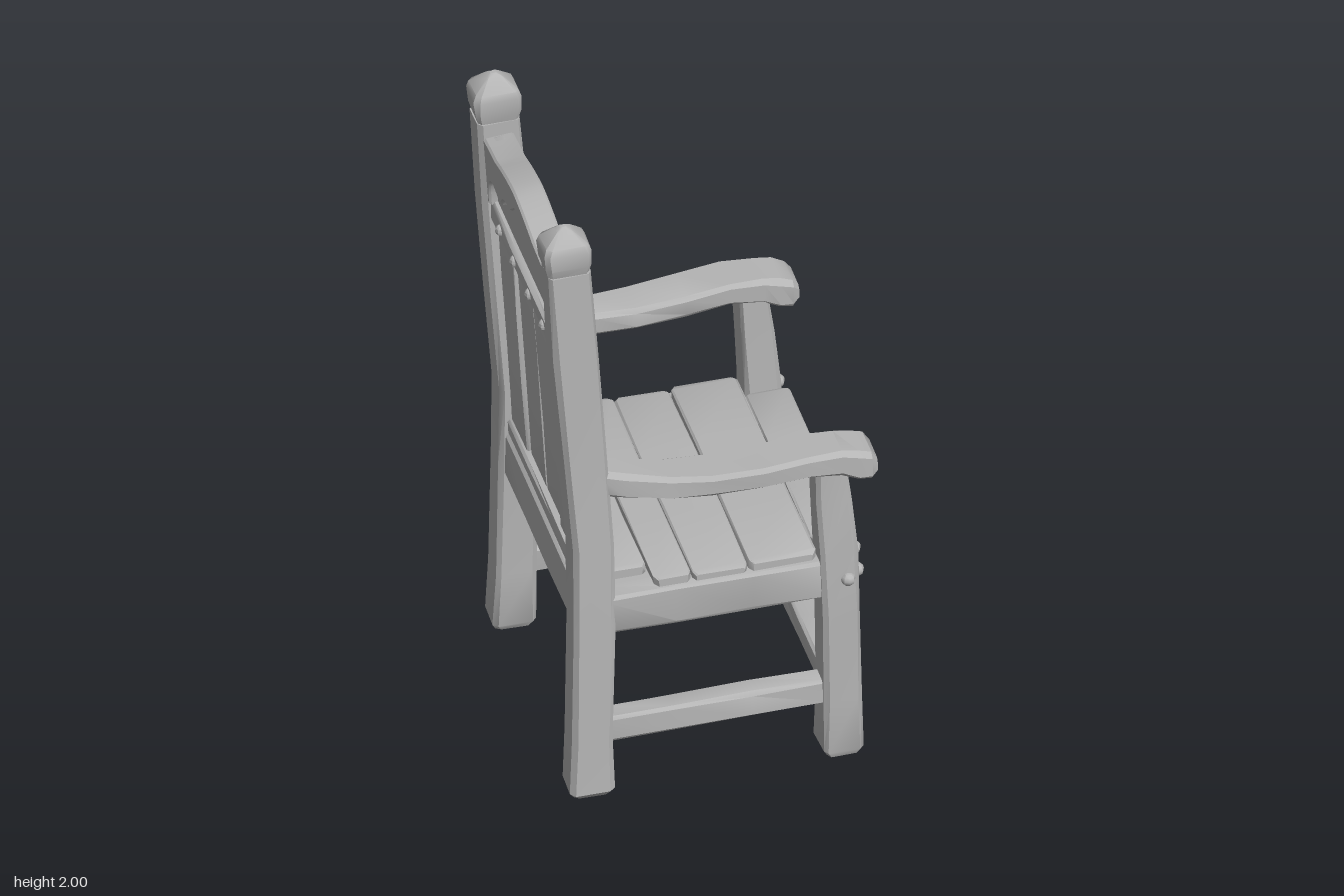
import * as THREE from 'three';
import { toCreasedNormals } from 'three/addons/utils/BufferGeometryUtils.js';

const AXES = {
  x: [[0, 1, 0], [0, 0, 1]],
  y: [[0, 0, 1], [1, 0, 0]],
  z: [[1, 0, 0], [0, 1, 0]],
};

export function createModel() {
  const chair = new THREE.Group();
  chair.name = 'chair';
  const wood = new THREE.MeshStandardMaterial({ color: 0xb4b4b4 });
  wood.name = 'greyWood';

  // small seeded noise for hand-hewn edges
  let seed = 7;
  const rand = () => {
    seed = (seed * 16807) % 2147483647;
    return seed / 2147483647 - 0.5;
  };

  function add(parent, name, geometry) {
    const mesh = new THREE.Mesh(toCreasedNormals(geometry, 0.6), wood);
    mesh.name = name;
    parent.add(mesh);
    return mesh;
  }

  // Beam with chamfered cross-sections. Each station is [x, y, z, halfU, halfV],
  // running in the positive direction of the given axis.
  function beam(parent, name, axis, stations, wobble = 0.006, bevel = 0.25) {
    const u = new THREE.Vector3(...AXES[axis][0]);
    const v = new THREE.Vector3(...AXES[axis][1]);
    const positions = [], index = [], n = 8;
    const point = (s, a, b) => {
      const p = new THREE.Vector3(s[0], s[1], s[2]).addScaledVector(u, a).addScaledVector(v, b);
      positions.push(p.x, p.y, p.z);
    };
    stations.forEach((s) => {
      const c = Math.min(s[3], s[4]) * bevel;
      const [a, b] = [s[3], s[4]];
      const ring = [[a, -b + c], [a, b - c], [a - c, b], [-a + c, b],
        [-a, b - c], [-a, -b + c], [-a + c, -b], [a - c, -b]];
      ring.forEach(([p, q]) => point(s, p + rand() * wobble, q + rand() * wobble));
    });
    for (let i = 0; i < stations.length - 1; i++) {
      for (let j = 0; j < n; j++) {
        const a = i * n + j, b = i * n + (j + 1) % n;
        index.push(a, b, b + n, a, b + n, a + n);
      }
    }
    // end caps
    const last = (stations.length - 1) * n, c0 = stations.length * n;
    point(stations[0], 0, 0);
    point(stations[stations.length - 1], 0, 0);
    for (let j = 0; j < n; j++) {
      const k = (j + 1) % n;
      index.push(c0, k, j, c0 + 1, last + j, last + k);
    }
    const g = new THREE.BufferGeometry();
    g.setAttribute('position', new THREE.Float32BufferAttribute(positions, 3));
    g.setIndex(index);
    return add(parent, name, g);
  }

  // Straight board between two ends, with worn ends and a few inner stations
  function board(parent, name, axis, from, to, hu, hv, wobble) {
    const stations = [0, 0.02, 0.33, 0.66, 0.98, 1].map((t) => {
      const k = t === 0 || t === 1 ? 0.012 : 0;
      return [...from.map((f, i) => f + (to[i] - f) * t), hu - Math.min(k, hu * 0.3), hv - Math.min(k, hv * 0.3)];
    });
    return beam(parent, name, axis, stations, wobble);
  }

  function peg(parent, name, x, y, z, r = 0.022) {
    add(parent, name, new THREE.SphereGeometry(r, 8, 6)).position.set(x, y, z);
  }

  for (const s of [1, -1]) {
    const side = s > 0 ? 'left' : 'right';

    // back posts, leaning backwards, with pointed finials
    beam(chair, side + 'BackPost', 'y', [
      [-0.355, 0, s * 0.412, 0.05, 0.053], [-0.355, 0.02, s * 0.412, 0.062, 0.065],
      [-0.352, 0.2, s * 0.411, 0.057, 0.06], [-0.345, 0.6, s * 0.405, 0.055, 0.06],
      [-0.344, 0.87, s * 0.392, 0.055, 0.06], [-0.366, 1.2, s * 0.38, 0.053, 0.065],
      [-0.391, 1.55, s * 0.377, 0.052, 0.067], [-0.41, 1.85, s * 0.375, 0.05, 0.064],
    ]);
    beam(chair, side + 'Finial', 'y', [
      [-0.411, 1.84, s * 0.375, 0.045, 0.058], [-0.413, 1.88, s * 0.375, 0.054, 0.068],
      [-0.415, 1.93, s * 0.375, 0.056, 0.07], [-0.416, 1.952, s * 0.375, 0.05, 0.062],
      [-0.418, 1.99, s * 0.375, 0.018, 0.022], [-0.418, 2, s * 0.375, 0.006, 0.008],
    ], 0.004);

    // front legs
    beam(chair, side + 'FrontLeg', 'y', [
      [0.388, 0, s * 0.412, 0.05, 0.048], [0.388, 0.02, s * 0.412, 0.062, 0.06],
      [0.386, 0.2, s * 0.41, 0.057, 0.056], [0.382, 0.5, s * 0.41, 0.057, 0.056],
      [0.377, 0.72, s * 0.41, 0.054, 0.055], [0.365, 0.9, s * 0.408, 0.045, 0.05],
      [0.352, 1.05, s * 0.41, 0.045, 0.044],
    ]);

    // sagging armrests with rounded drooping ends
    beam(chair, side + 'Armrest', 'x', [
      [-0.33, 1.085, s * 0.38, 0.045, 0.046], [-0.25, 1.067, s * 0.388, 0.043, 0.052],
      [-0.12, 1.048, s * 0.4, 0.037, 0.058], [0, 1.044, s * 0.409, 0.035, 0.063],
      [0.15, 1.05, s * 0.418, 0.036, 0.067], [0.28, 1.063, s * 0.42, 0.036, 0.067],
      [0.38, 1.055, s * 0.42, 0.042, 0.066], [0.43, 1.037, s * 0.42, 0.052, 0.065],
      [0.468, 1.028, s * 0.419, 0.046, 0.064], [0.487, 1.023, s * 0.418, 0.025, 0.05],
    ], 0.005, 0.35);

    // side rails
    board(chair, side + 'Stretcher', 'x', [-0.33, 0.215, s * 0.41], [0.36, 0.22, s * 0.41], 0.042, 0.035);
    board(chair, side + 'Apron', 'x', [-0.33, 0.625, s * 0.41], [0.36, 0.625, s * 0.41], 0.064, 0.037);

    // joint pegs
    peg(chair, side + 'UpperPeg', 0.432, 0.695, s * 0.405);
    peg(chair, side + 'LowerPeg', 0.436, 0.63, s * 0.425);
    peg(chair, side + 'OuterPeg', 0.4, 0.632, s * 0.465);
  }

  // front and back rails
  board(chair, 'frontStretcher', 'z', [0.385, 0.213, -0.38], [0.385, 0.213, 0.38], 0.036, 0.042);
  board(chair, 'frontApron', 'z', [0.39, 0.622, -0.38], [0.39, 0.622, 0.38], 0.045, 0.062);
  board(chair, 'backApron', 'z', [-0.35, 0.64, -0.38], [-0.35, 0.64, 0.38], 0.04, 0.078);

  // seat base and planks
  board(chair, 'seatBase', 'x', [-0.34, 0.625, 0], [0.38, 0.625, 0], 0.055, 0.39, 0.003);
  const edges = [-0.335, -0.163, -0.05, 0.118, 0.318, 0.452];
  for (let i = 0; i < 5; i++) {
    const x = (edges[i] + edges[i + 1]) / 2, half = (edges[i + 1] - edges[i]) / 2 - 0.002;
    const reach = i === 0 || i === 4 ? 0.352 : 0.43;
    const y = 0.694 + (i % 2) * 0.006;
    board(chair, 'seatPlank' + (i + 1), 'z', [x, y, -reach], [x, y, reach], half, 0.02, 0.005);
  }

  // tilted backrest; heights inside are measured from its foot
  const foot = 0.72;
  const back = new THREE.Group();
  back.name = 'backrest';
  back.position.set(-0.345, foot, 0);
  back.rotation.z = 0.064;
  chair.add(back);

  // upright planks, with open gaps between them
  const planks = [[-0.36, -0.178], [-0.172, 0.0], [0.001, 0.164], [0.177, 0.36]];
  planks.forEach(([a, b], i) => {
    const z = (a + b) / 2, dx = i % 3 ? 0.006 : -0.004;
    board(back, 'backPlank' + (i + 1), 'y', [dx, 0.03, z], [dx, 0.84, z], (b - a) / 2, 0.018, 0.004);
  });
  board(back, 'upperPanel', 'y', [0, 0.82, 0], [0, 1.09, 0], 0.33, 0.02, 0.004);
  board(back, 'lowerRail', 'z', [0, 0.025, -0.36], [0, 0.025, 0.36], 0.036, 0.028);
  board(back, 'upperRail', 'z', [0, 0.825, -0.35], [0, 0.825, 0.35], 0.038, 0.036);
  for (const x of [-0.036, 0.036]) {
    for (const z of [-0.23, -0.08, 0.08, 0.23]) peg(back, 'railPeg', x, 0.825, z, 0.018);
  }

  // arched crest with a cusped lower edge
  const crest = new THREE.Shape();
  crest.moveTo(-0.35, 1.08);
  crest.lineTo(-0.2, 1.095);
  crest.quadraticCurveTo(-0.08, 1.13, 0, 1.133);
  crest.quadraticCurveTo(0.08, 1.13, 0.2, 1.095);
  crest.lineTo(0.35, 1.08);
  crest.lineTo(0.35, 0.86);
  crest.lineTo(0.318, 0.86);
  crest.quadraticCurveTo(0.32, 0.97, 0.25, 0.98);
  crest.lineTo(0.175, 0.965);
  crest.quadraticCurveTo(0.15, 1.025, 0.06, 1.03);
  crest.lineTo(0, 1.08);
  crest.lineTo(-0.06, 1.03);
  crest.quadraticCurveTo(-0.15, 1.025, -0.175, 0.965);
  crest.lineTo(-0.25, 0.98);
  crest.quadraticCurveTo(-0.32, 0.97, -0.318, 0.86);
  crest.lineTo(-0.35, 0.86);
  crest.closePath();
  const crestGeometry = new THREE.ExtrudeGeometry(crest, {
    depth: 0.076, bevelEnabled: true, bevelSize: 0.005, bevelThickness: 0.007, bevelSegments: 1, curveSegments: 5,
  });
  crestGeometry.translate(0, 0, -0.038).rotateY(Math.PI / 2);
  add(back, 'crestRail', crestGeometry);

  return chair;
}
